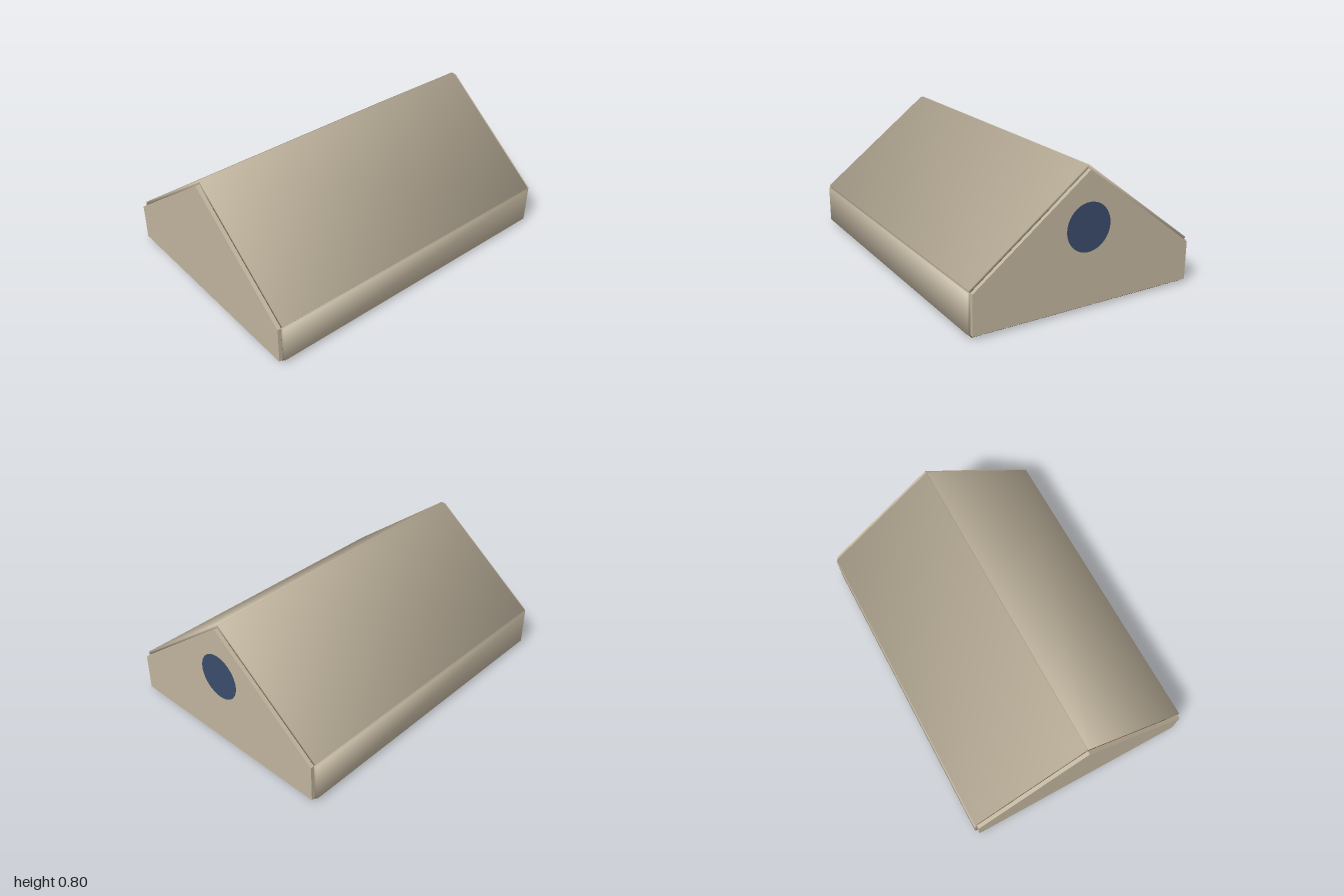
import * as THREE from 'three';
import { RoundedBoxGeometry } from 'three/addons/geometries/RoundedBoxGeometry.js';

// Box with a tiny chamfer and soft normals that spread out from the corners
function softBox(w, h, d, r) {
  const geo = new RoundedBoxGeometry(w, h, d, 1, r);
  const p = geo.attributes.position, n = geo.attributes.normal;
  const v = new THREE.Vector3();
  for (let i = 0; i < p.count; i++) {
    v.set(Math.sign(p.getX(i)), Math.sign(p.getY(i)), Math.sign(p.getZ(i))).normalize();
    n.setXYZ(i, v.x, v.y, v.z);
  }
  return geo;
}

export function createModel() {
  const group = new THREE.Group();
  group.name = 'atticRoom';

  const plaster = new THREE.MeshStandardMaterial({ name: 'warm plaster', color: 0xbfb39d });
  const wood = new THREE.MeshStandardMaterial({ name: 'brown wood', color: 0x6b4a32 });
  const glass = new THREE.MeshStandardMaterial({ name: 'night blue glass', color: 0x3a4b6b });

  const add = (name, geo, mat, x = 0, y = 0, z = 0) => {
    const mesh = new THREE.Mesh(geo, mat);
    mesh.name = name;
    mesh.position.set(x, y, z);
    group.add(mesh);
    return mesh;
  };

  const half = 0.7, eave = 0.25, ridge = 0.785, length = 1.95;

  // Floor: a row of narrow planks running front to back
  const planks = 20, pitch = (2 * half - 0.01) / planks;
  const plankGeo = softBox(pitch - 0.003, 0.018, length, 0.004);
  for (let i = 0; i < planks; i++) {
    add('floorPlank', plankGeo, wood, (i - (planks - 1) / 2) * pitch, 0.009, 0);
  }

  // Gable walls at both ends
  const shape = new THREE.Shape();
  shape.moveTo(-half, 0.018);
  shape.lineTo(half, 0.018);
  shape.lineTo(half, eave);
  shape.lineTo(0, ridge);
  shape.lineTo(-half, eave);
  shape.closePath();
  const gableGeo = new THREE.ExtrudeGeometry(shape, { depth: 0.023, bevelEnabled: false });
  add('frontGable', gableGeo, plaster, 0, 0, 0.977);
  add('backGable', gableGeo, plaster, 0, 0, -0.999);

  // Low side walls and sloping roof panels, mirrored
  const slope = Math.atan2(ridge - eave, half);
  const run = Math.hypot(half, ridge - eave) + 0.008;
  const thick = 0.02;
  const wallGeo = softBox(0.022, 0.23, length, 0.004);
  const roofGeo = softBox(run, thick, length, 0.004);
  for (const s of [1, -1]) {
    const side = s > 0 ? 'left' : 'right';
    add(side + 'Wall', wallGeo, plaster, s * 0.706, 0.135, 0);
    const x = half / 2 + Math.sin(slope) * thick / 2 - Math.cos(slope) * 0.004;
    const y = (eave + ridge) / 2 + Math.cos(slope) * thick / 2 + Math.sin(slope) * 0.004;
    add(side + 'RoofPanel', roofGeo, plaster, s * x, y, 0).rotation.z = -s * slope;
  }

  // Round window set through the back gable, with its frame sunk into the wall
  const paneGeo = new THREE.CylinderGeometry(0.14, 0.14, 0.026, 40);
  paneGeo.rotateX(Math.PI / 2);
  add('roundWindowPane', paneGeo, glass, 0, 0.47, -0.987);
  add('roundWindowFrame', new THREE.TorusGeometry(0.15, 0.012, 10, 40), wood, 0, 0.47, -0.9872);

  return group;
}
